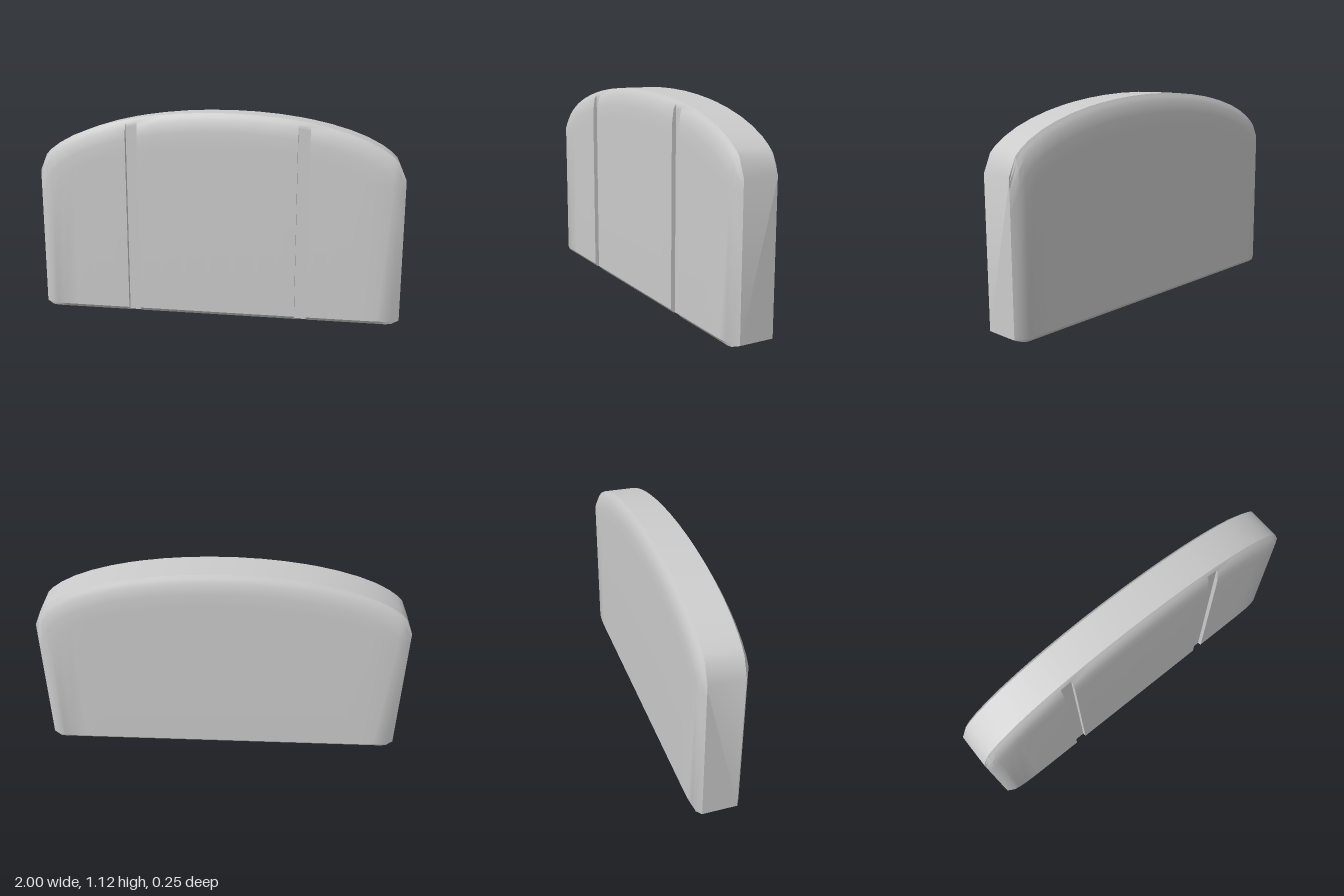
import * as THREE from 'three';
import { toCreasedNormals } from 'three/addons/utils/BufferGeometryUtils.js';

const GROOVE_IN = 0.435, GROOVE_OUT = 0.5, GROOVE_FLOOR = 0.102;

// Edge rounding: half thickness for each distance in from the outline
const ROUNDING = [[0, 0.092], [0.017, 0.102], [0.04, 0.115], [0.1, 0.123], [0.17, 0.125]];

function halfThickness(d) {
  for (let i = 1; i < ROUNDING.length; i++) {
    const [d0, z0] = ROUNDING[i - 1], [d1, z1] = ROUNDING[i];
    if (d <= d1) return z0 + (z1 - z0) * (d - d0) / (d1 - d0);
  }
  return 0.125;
}

// Upright cross-section at x: up the front, over the arched top, down the back
function section(x, grooved) {
  const ax = Math.abs(x);
  const top = 0.79 + 0.335 * Math.sqrt(1 - ax * ax);
  const bottom = ax > 0.98 ? 0.02 : ax > 0.94 ? 0.005 : 0;
  const sx = Math.min(ax, 0.97);
  const slope = 0.335 * sx / Math.sqrt(1 - sx * sx);
  const stretch = Math.hypot(1, slope);
  const h = halfThickness(1 - ax);
  const half = [[Math.min(h, 0.11), bottom], [h, bottom + 0.018]];
  for (const [d, z] of [...ROUNDING].reverse()) half.push([Math.min(h, z), top - d * stretch]);
  const front = half.map(([z, y]) => [x, y, grooved ? Math.min(z, GROOVE_FLOOR) : z]);
  const back = half.map(([z, y]) => [x, y, -z]).reverse();
  return [...front, ...back].map((p) => new THREE.Vector3(...p));
}

function panelGeometry() {
  // Stations along x; the doubled ones make the groove walls
  const right = [
    [0.07], [0.2], [0.32], [GROOVE_IN], [GROOVE_IN, true], [GROOVE_OUT, true], [GROOVE_OUT],
    [0.6], [0.71], [0.8], [0.88], [0.93], [0.96], [1],
  ];
  const left = right.map(([x, g]) => [-x, g]).reverse();
  const rings = [...left, ...right].map(([x, g]) => section(x, g));
  const positions = [];
  const triangle = (a, b, c) => {
    const t = new THREE.Triangle(a, b, c);
    if (t.getArea() > 1e-8) for (const p of [a, b, c]) positions.push(p.x, p.y, p.z);
  };

  // Skin between neighbouring sections
  const n = rings[0].length;
  for (let i = 0; i + 1 < rings.length; i++) {
    for (let j = 0; j < n; j++) {
      const k = (j + 1) % n;
      triangle(rings[i][j], rings[i + 1][j], rings[i + 1][k]);
      triangle(rings[i][j], rings[i + 1][k], rings[i][k]);
    }
  }

  // Flat ends
  const first = rings[0], last = rings[rings.length - 1];
  for (let j = 1; j + 1 < n; j++) {
    triangle(first[0], first[j], first[j + 1]);
    triangle(last[0], last[j + 1], last[j]);
  }

  const geometry = new THREE.BufferGeometry();
  geometry.setAttribute('position', new THREE.Float32BufferAttribute(positions, 3));
  return toCreasedNormals(geometry, 0.6);
}

export function createModel() {
  const group = new THREE.Group();
  group.name = 'headboard';
  const panel = new THREE.Mesh(panelGeometry(), new THREE.MeshStandardMaterial({ color: 0xcccccc }));
  panel.name = 'groovedPanel';
  group.add(panel);
  return group;
}
